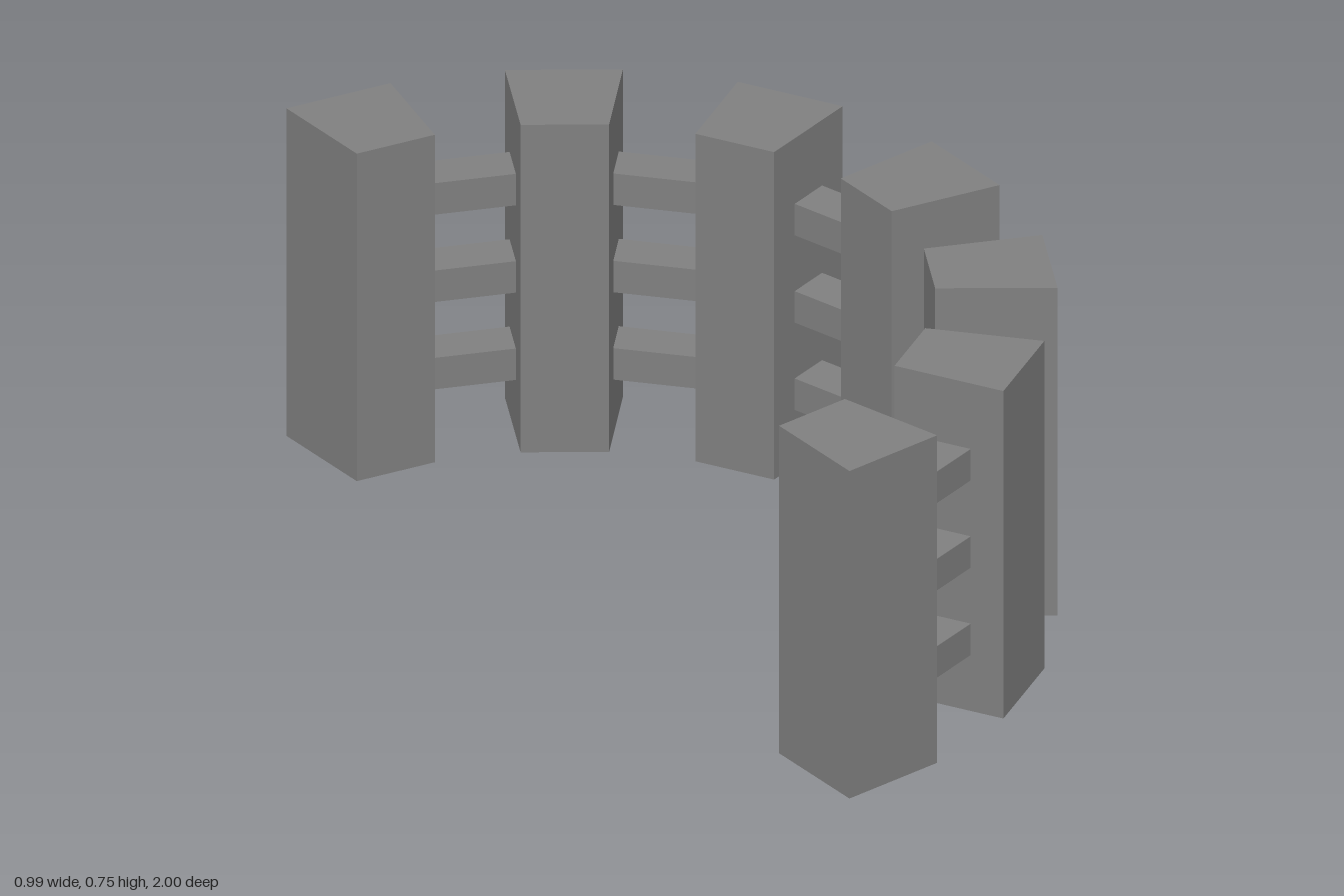
import * as THREE from 'three';

const POSTS = 7;
const STEP = Math.PI / (2 * POSTS - 1); // posts and gaps share the half circle equally
const CENTRE_X = -0.4964;
const HEIGHT = 0.75;

const material = new THREE.MeshStandardMaterial({ color: 0x808080, flatShading: true });

// Straight-sided ring segment number i, between two radii and two heights
function segment(name, i, inner, outer, bottom, top) {
  const a = -Math.PI / 2 + i * STEP;
  const b = a + STEP;
  const point = (r, t) => new THREE.Vector2(CENTRE_X + r * Math.cos(t), r * Math.sin(t));
  const shape = new THREE.Shape([point(inner, a), point(outer, a), point(outer, b), point(inner, b)]);
  const geometry = new THREE.ExtrudeGeometry(shape, { depth: top - bottom, bevelEnabled: false });
  geometry.rotateX(-Math.PI / 2).translate(0, bottom, 0);
  const mesh = new THREE.Mesh(geometry, material);
  mesh.name = name;
  return mesh;
}

export function createModel() {
  const model = new THREE.Group();
  model.name = 'curvedFence';

  for (let i = 0; i < 2 * POSTS - 1; i++) {
    if (i % 2 === 0) {
      // Tapered upright post
      model.add(segment('post', i, 0.75, 1, 0, HEIGHT));
    } else {
      // Three rails bridging the gap
      for (const y of [0.128, 0.328, 0.528]) {
        model.add(segment('rail', i, 0.825, 0.925, y, y + 0.072));
      }
    }
  }
  return model;
}
